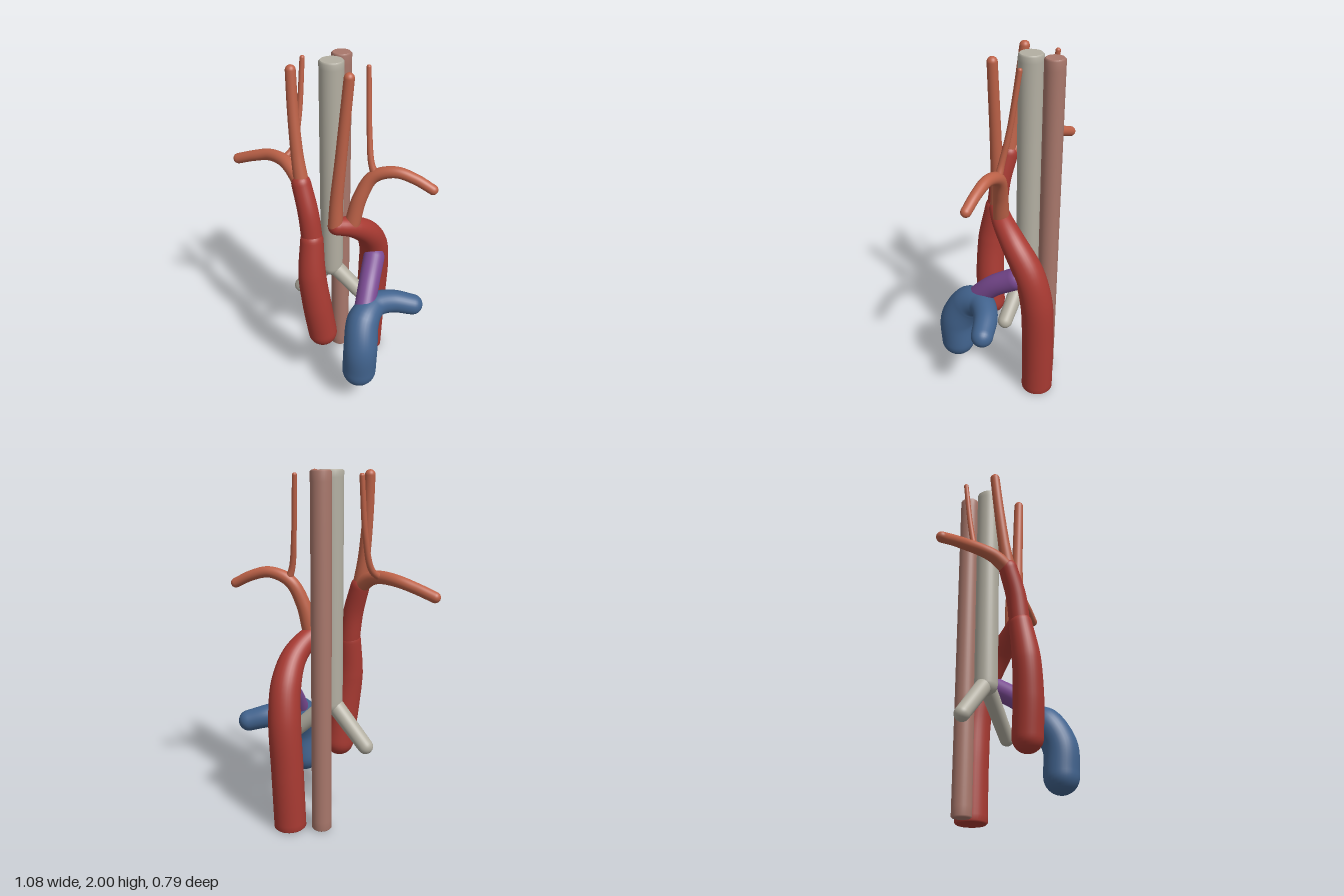
import * as THREE from 'three';

const SIDES = 32;

// Tapered tube through points [x, y, z, radius]; each end is 'round' or 'flat'
function vessel(points, startCap = 'round', endCap = 'round', steps = 40) {
  const curve = new THREE.CatmullRomCurve3(points.map(p => new THREE.Vector3(p[0], p[1], p[2])));
  const { normals, binormals, tangents } = curve.computeFrenetFrames(steps, false);
  const radiusAt = u => {
    const t = curve.getUtoTmapping(u) * (points.length - 1);
    const i = Math.min(Math.floor(t), points.length - 2);
    return THREE.MathUtils.lerp(points[i][3], points[i + 1][3], t - i);
  };

  // Rings: frame index, shift along the tangent, radius
  const rings = [];
  for (let i = 0; i <= steps; i++) rings.push([i, 0, radiusAt(i / steps)]);
  const cap = (type, i, dir) => {
    const r = radiusAt(i / steps);
    if (type === 'flat') {
      const bevel = [i, dir * 0.008, r - 0.008];
      return [bevel, bevel, [i, dir * 0.008, 0]];
    }
    return [1, 2, 3, 4, 5, 6, 7, 8].map(k => {
      const a = k / 8 * Math.PI / 2;
      return [i, dir * r * Math.sin(a), r * Math.cos(a)];
    });
  };
  rings.unshift(...cap(startCap, 0, -1).reverse());
  rings.push(...cap(endCap, steps, 1));

  const position = [], index = [];
  rings.forEach(([i, shift, r], row) => {
    const centre = curve.getPointAt(i / steps).addScaledVector(tangents[i], shift);
    for (let j = 0; j < SIDES; j++) {
      const a = j / SIDES * Math.PI * 2;
      const p = centre.clone()
        .addScaledVector(normals[i], r * Math.cos(a))
        .addScaledVector(binormals[i], r * Math.sin(a));
      position.push(p.x, p.y, p.z);
      if (row === 0) continue;
      const next = (j + 1) % SIDES, low = (row - 1) * SIDES, high = row * SIDES;
      index.push(low + j, low + next, high + next, low + j, high + next, high + j);
    }
  });
  const geometry = new THREE.BufferGeometry();
  geometry.setAttribute('position', new THREE.Float32BufferAttribute(position, 3));
  geometry.setIndex(index);
  geometry.computeVertexNormals();
  return geometry;
}

export function createModel() {
  const group = new THREE.Group();
  const material = (name, color) => {
    const m = new THREE.MeshStandardMaterial({ color });
    m.name = name;
    return m;
  };
  const red = material('aorta red', 0xa83a32);
  const salmon = material('branch artery salmon', 0xbd6248);
  const blue = material('pulmonary blue', 0x42648f);
  const purple = material('duct purple', 0x7a4a92);
  const grey = material('airway grey', 0xb3afa2);
  const pink = material('oesophagus pink', 0xa8776b);

  const add = (name, mat, points, startCap, endCap) => {
    const mesh = new THREE.Mesh(vessel(points, startCap, endCap), mat);
    mesh.name = name;
    group.add(mesh);
  };

  // Oesophagus and airway
  add('oesophagus', pink, [[0.073, 0.008, -0.25, 0.056], [0.073, 1.992, -0.25, 0.056]], 'flat', 'flat');
  add('trachea', grey, [[0.003, 0.72, -0.13, 0.066], [0.003, 1.992, -0.13, 0.068]], 'round', 'flat');
  add('rightBronchus', grey, [[0.0, 0.73, -0.13, 0.05], [-0.175, 0.49, -0.25, 0.044]]);
  add('leftBronchus', grey, [[0.0, 0.73, -0.13, 0.05], [0.24, 0.48, -0.01, 0.042]]);

  // Ascending trunk and its continuation
  add('ascendingAorta', red, [
    [-0.083, 0.39, 0.095, 0.086], [-0.115, 0.6, 0.1, 0.085],
    [-0.14, 0.82, 0.09, 0.08], [-0.135, 1.03, 0.06, 0.066]]);
  add('brachiocephalicTrunk', red, [
    [-0.133, 1.04, 0.055, 0.06], [-0.15, 1.2, 0.035, 0.058], [-0.18, 1.36, -0.01, 0.054]]);

  // Arch sweeping back and down
  add('descendingAorta', red, [
    [0.01, 1.1, 0.04, 0.052], [0.1, 1.07, 0.01, 0.06], [0.2, 0.98, -0.06, 0.073],
    [0.257, 0.84, -0.14, 0.086], [0.272, 0.65, -0.188, 0.092],
    [0.262, 0.35, -0.203, 0.092], [0.25, 0.008, -0.205, 0.092]], 'round', 'flat');

  // Arteries of the right side
  add('rightCarotid', salmon, [
    [-0.178, 1.36, -0.01, 0.042], [-0.195, 1.52, -0.035, 0.034],
    [-0.208, 1.75, -0.065, 0.03], [-0.212, 1.97, -0.09, 0.028]]);
  add('rightSubclavian', salmon, [
    [-0.18, 1.36, -0.01, 0.045], [-0.225, 1.415, -0.09, 0.04], [-0.267, 1.432, -0.165, 0.036],
    [-0.335, 1.425, -0.25, 0.033], [-0.42, 1.395, -0.31, 0.031], [-0.51, 1.355, -0.367, 0.03]]);
  add('rightVertebral', salmon, [
    [-0.26, 1.43, -0.172, 0.02], [-0.205, 1.48, -0.2, 0.018],
    [-0.165, 1.65, -0.23, 0.016], [-0.135, 1.97, -0.266, 0.014]]);

  // Arteries of the left side
  add('leftCarotid', salmon, [
    [0.0, 1.11, 0.045, 0.042], [0.005, 1.25, 0.045, 0.037],
    [0.028, 1.52, 0.05, 0.032], [0.066, 1.97, 0.062, 0.028]]);
  add('leftSubclavian', salmon, [
    [0.1, 1.1, 0.02, 0.045], [0.14, 1.26, 0.018, 0.041], [0.21, 1.39, 0.025, 0.036],
    [0.32, 1.437, 0.075, 0.032], [0.42, 1.413, 0.122, 0.03], [0.51, 1.365, 0.165, 0.028]]);
  add('leftVertebral', salmon, [
    [0.22, 1.4, 0.025, 0.022], [0.2, 1.47, 0.01, 0.018],
    [0.192, 1.65, -0.03, 0.015], [0.19, 1.97, -0.08, 0.013]]);

  // Pulmonary trunk bending into its left branch, with the duct to the aorta
  add('pulmonaryArtery', blue, [
    [0.112, 0.23, 0.285, 0.1], [0.118, 0.4, 0.283, 0.1], [0.145, 0.54, 0.205, 0.096],
    [0.225, 0.582, 0.125, 0.076], [0.33, 0.576, 0.095, 0.069], [0.46, 0.545, 0.105, 0.062]]);
  add('ductusArteriosus', purple, [
    [0.155, 0.58, 0.17, 0.062], [0.2, 0.7, 0.06, 0.062], [0.25, 0.79, -0.07, 0.064]]);

  return group;
}
